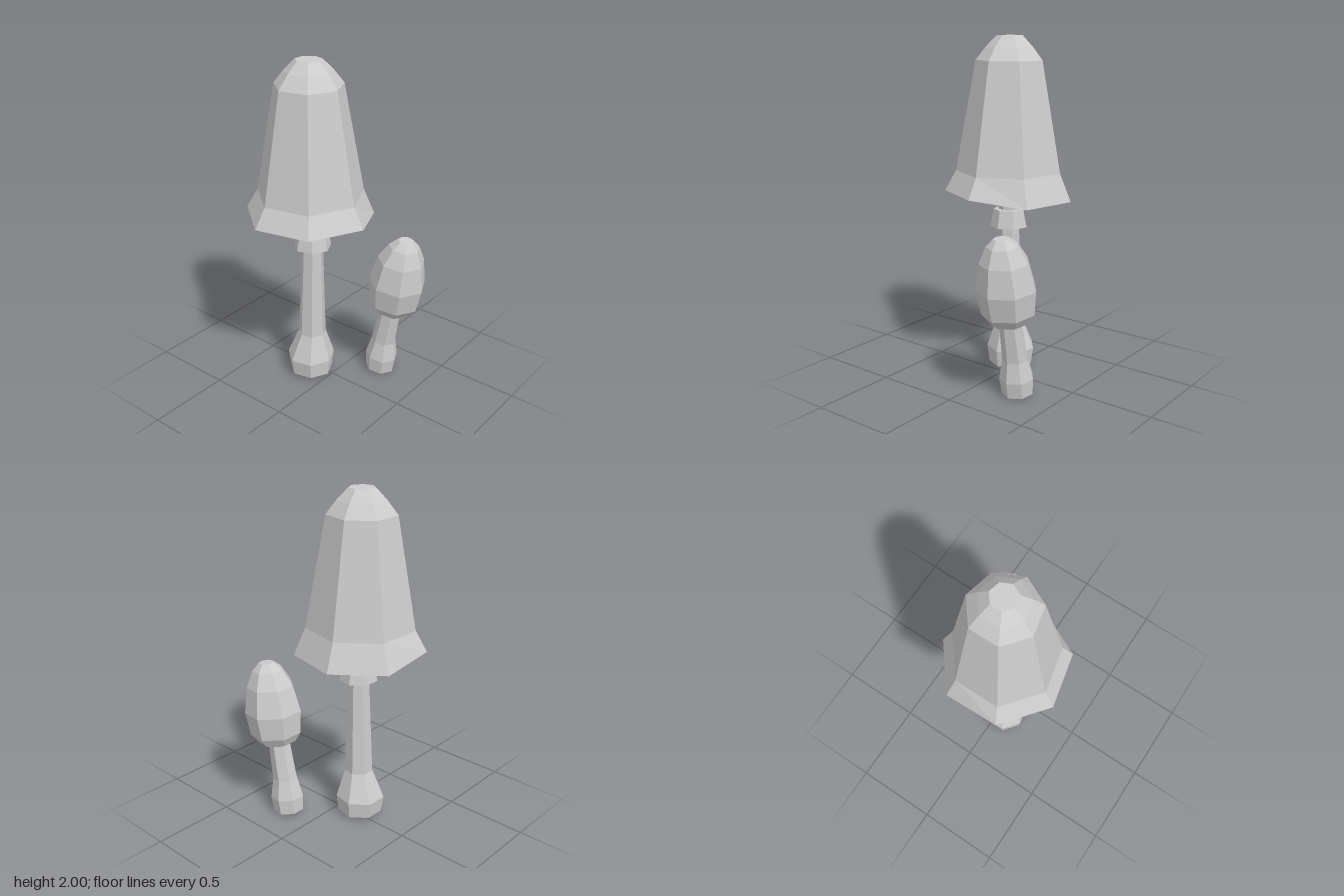
import * as THREE from 'three';

const SIDES = 7;
const material = new THREE.MeshStandardMaterial({ color: 0xcccccc, flatShading: true, side: THREE.DoubleSide });

// Skins heptagonal rings [centre x, centre y, radius], listed from the underside centre
// outward and up. tilt is the fall in y per unit of x; backDrop lowers rear corners of ring dropRing.
function loft(name, z, rings, { tilt = 0, dropRing = -1, backDrop = 0 } = {}) {
  const positions = [];
  const index = [];
  rings.forEach(([cx, cy, r], i) => {
    for (let k = 0; k < SIDES; k++) {
      const a = (k / SIDES) * Math.PI * 2;
      const dx = r * Math.cos(a);
      const dz = r * Math.sin(a);
      const drop = i === dropRing && k > SIDES / 2 && k !== 4 ? backDrop : 0;
      const rear = i === dropRing && k === 4 ? backDrop : 0;
      positions.push(cx + dx, cy - dx * tilt - drop - rear, z + dz);
    }
  });
  for (let i = 0; i < rings.length - 1; i++) {
    for (let k = 0; k < SIDES; k++) {
      const k1 = (k + 1) % SIDES;
      const a = i * SIDES + k, b = i * SIDES + k1;
      const c = a + SIDES, d = b + SIDES;
      if (rings[i + 1][2] > 0) index.push(a, c, d);
      if (rings[i][2] > 0) index.push(a, d, b);
    }
  }
  const geometry = new THREE.BufferGeometry();
  geometry.setAttribute('position', new THREE.Float32BufferAttribute(positions, 3));
  geometry.setIndex(index);
  geometry.computeVertexNormals();
  const mesh = new THREE.Mesh(geometry, material);
  mesh.name = name;
  return mesh;
}

export function createModel() {
  const model = new THREE.Group();
  model.name = 'mushrooms';

  // Tall mushroom with a bell cap and a collar
  const tall = new THREE.Group();
  tall.name = 'tallMushroom';
  tall.add(
    loft('tallStem', 0.042, [
      [-0.133, 0.02, 0], [-0.133, 0.02, 0.134], [-0.135, 0.12, 0.147],
      [-0.122, 0.29, 0.084], [-0.113, 0.88, 0.064], [-0.113, 1.2, 0.06],
    ]),
    loft('collar', 0.042, [
      [-0.113, 0.885, 0.06], [-0.113, 0.885, 0.113], [-0.112, 0.99, 0.092], [-0.112, 0.99, 0],
    ]),
    loft('bellCap', 0.045, [
      [-0.124, 1.14, 0], [-0.124, 1.16, 0.29], [-0.124, 1.1, 0.384], [-0.122, 1.22, 0.317],
      [-0.125, 1.86, 0.2], [-0.124, 1.935, 0.141], [-0.124, 2, 0.077], [-0.124, 2, 0],
    ], { dropRing: 2, backDrop: 0.04 }),
  );

  // Small leaning mushroom with an egg-shaped cap
  const small = new THREE.Group();
  small.name = 'smallMushroom';
  small.add(
    loft('smallStem', -0.252, [
      [0.193, 0.011, 0], [0.193, 0.011, 0.092], [0.203, 0.105, 0.1],
      [0.217, 0.22, 0.075], [0.26, 0.45, 0.066], [0.266, 0.52, 0.06],
    ], { tilt: 0.11 }),
    loft('eggCap', -0.255, [
      [0.272, 0.47, 0], [0.273, 0.46, 0.113], [0.283, 0.515, 0.153], [0.3, 0.655, 0.172],
      [0.322, 0.81, 0.141], [0.34, 0.905, 0.092], [0.35, 0.948, 0.046], [0.35, 0.948, 0],
    ], { tilt: 0.1 }),
  );

  model.add(tall, small);
  return model;
}
